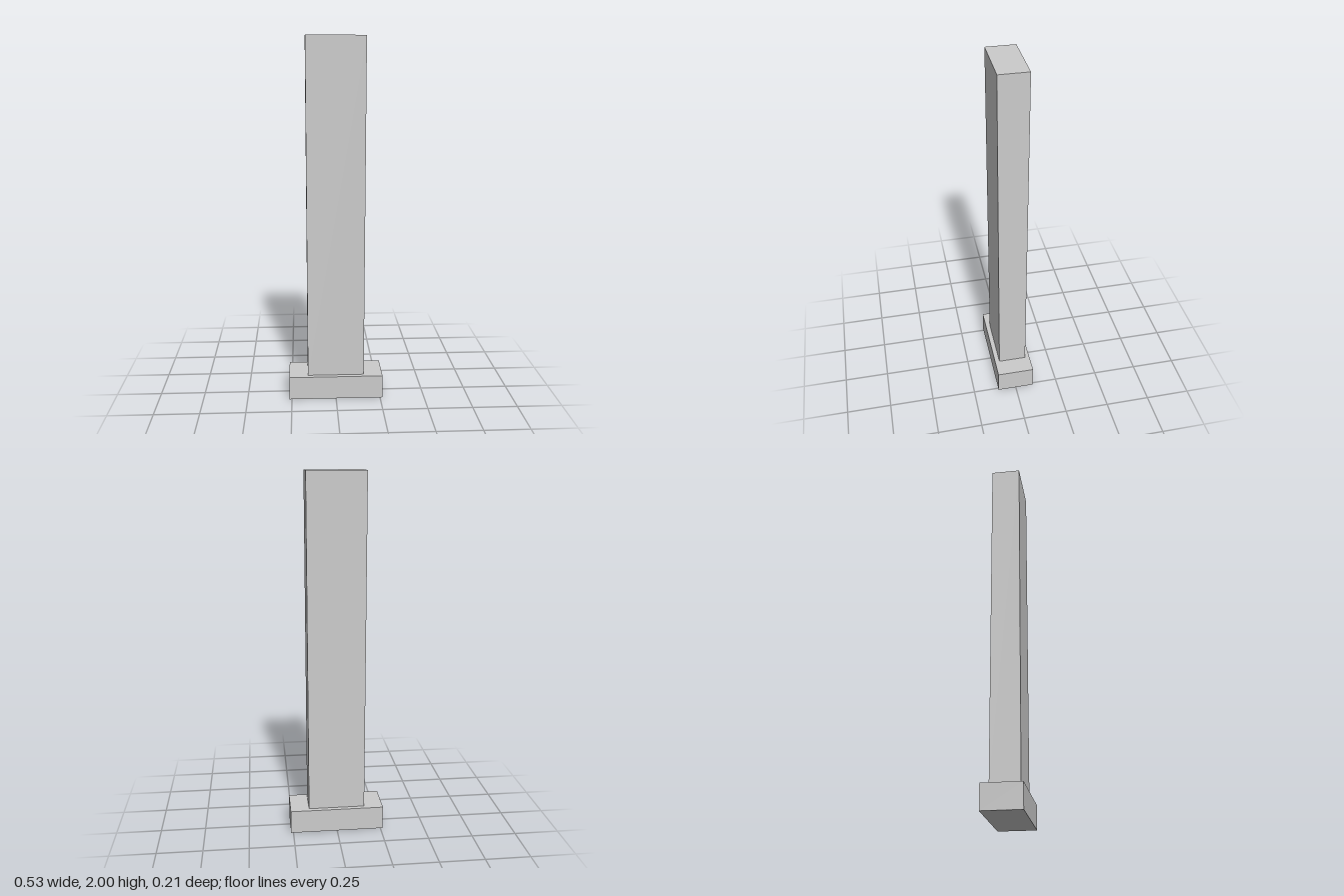
import * as THREE from 'three';

const material = new THREE.MeshStandardMaterial({ color: 0xcccccc });

// Box resting on the height y
function block(name, width, height, depth, y) {
  const mesh = new THREE.Mesh(new THREE.BoxGeometry(width, height, depth), material);
  mesh.name = name;
  mesh.position.y = y + height / 2;
  return mesh;
}

export function createModel() {
  const group = new THREE.Group();
  group.name = 'pillar';
  const baseHeight = 0.132;

  // Low plinth
  group.add(block('base', 0.526, baseHeight, 0.21, 0));

  // Tall upright slab
  group.add(block('shaft', 0.316, 2 - baseHeight, 0.158, baseHeight));

  return group;
}
